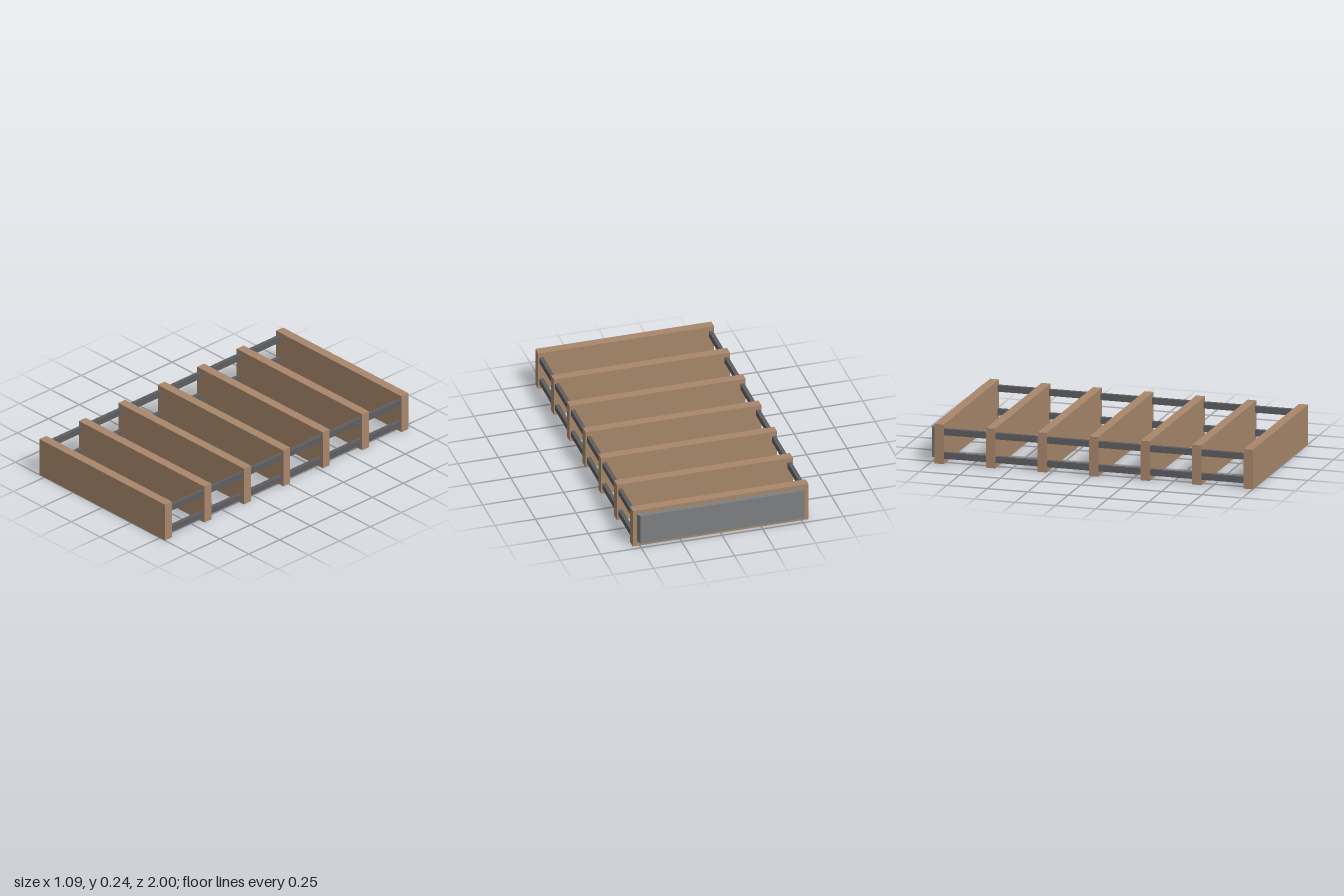
import * as THREE from 'three';

export function createModel() {
  const group = new THREE.Group();
  const wood = new THREE.MeshStandardMaterial({ color: 0xa8876b });
  wood.name = 'brown wood';
  const rail = new THREE.MeshStandardMaterial({ color: 0x5e5d5f });
  rail.name = 'dark grey metal';
  const panel = new THREE.MeshStandardMaterial({ color: 0x7d7f80 });
  panel.name = 'mid grey metal';

  const add = (name, geometry, material, x, y, z) => {
    const mesh = new THREE.Mesh(geometry, material);
    mesh.name = name;
    mesh.position.set(x, y, z);
    group.add(mesh);
    return mesh;
  };

  // Seven upright planks, evenly spaced from front to back
  const plankGeometry = new THREE.BoxGeometry(1.086, 0.242, 0.056);
  for (let i = 0; i < 7; i++) {
    add('plank' + (i + 1), plankGeometry, wood, 0, 0.121, 0.972 - i * 0.319);
  }

  // Four rails joining the planks, two on each side
  const railGeometry = new THREE.BoxGeometry(0.024, 0.038, 1.9);
  for (const side of [-1, 1]) {
    for (const y of [0.05, 0.194]) {
      add((side > 0 ? 'left' : 'right') + (y > 0.1 ? 'Upper' : 'Lower') + 'Rail',
        railGeometry, rail, side * 0.523, y, 0.015);
    }
  }

  // Back panel with slanted ends
  const outline = new THREE.Shape([
    new THREE.Vector2(-0.517, 0.97),
    new THREE.Vector2(0.517, 0.97),
    new THREE.Vector2(0.505, 1),
    new THREE.Vector2(-0.505, 1),
  ]);
  const panelGeometry = new THREE.ExtrudeGeometry(outline, { depth: 0.187, bevelEnabled: false });
  panelGeometry.rotateX(-Math.PI / 2);
  add('backPanel', panelGeometry, panel, 0, 0.03, 0);

  return group;
}
